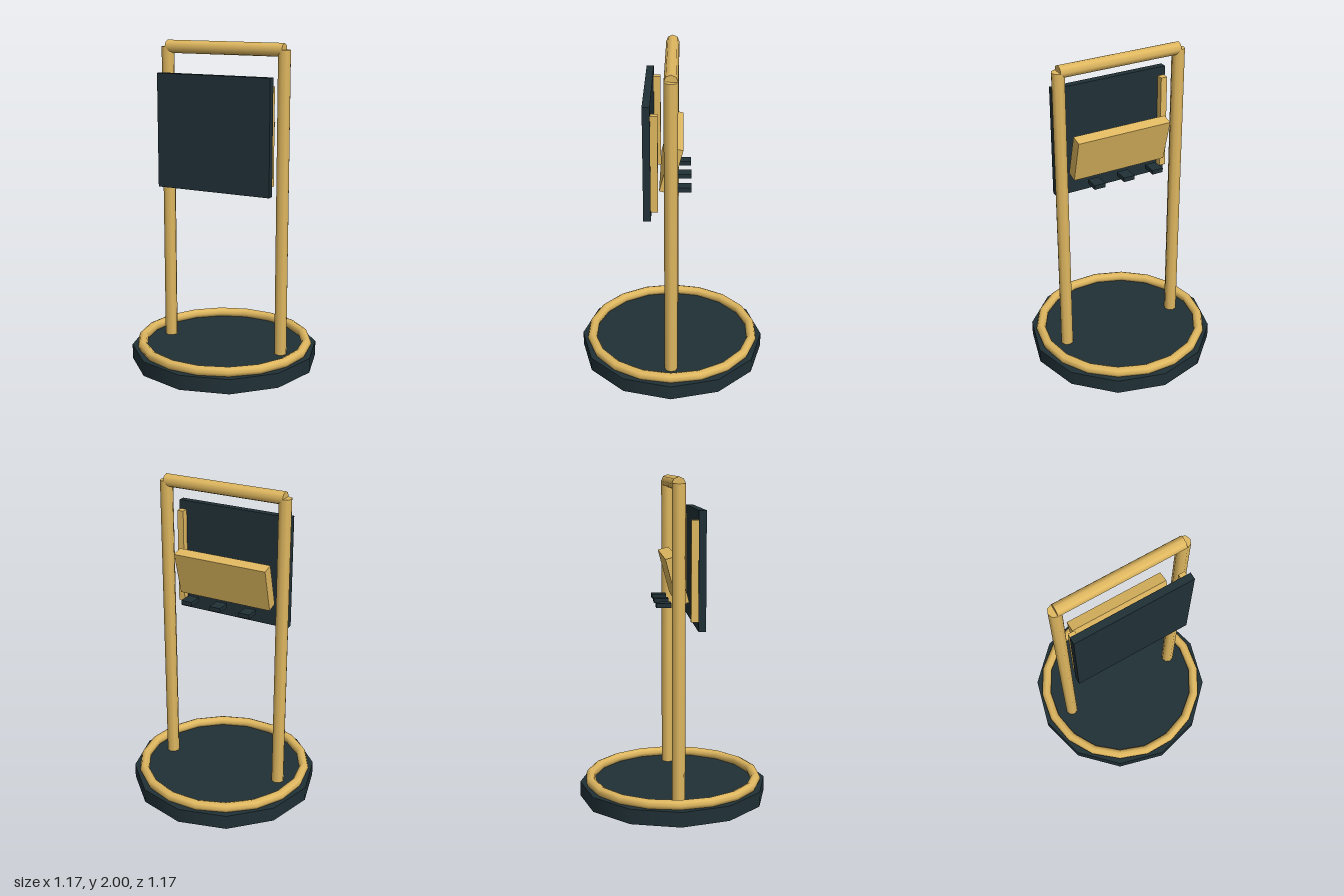
import * as THREE from 'three';

export function createModel() {
  const model = new THREE.Group();
  const gold = new THREE.MeshStandardMaterial({ color: 0xe0b860 });
  const dark = new THREE.MeshStandardMaterial({ color: 0x203036 });

  const add = (name, geometry, material, x, y, z) => {
    const mesh = new THREE.Mesh(geometry, material);
    mesh.name = name;
    mesh.position.set(x, y, z);
    model.add(mesh);
    return mesh;
  };
  const box = (w, h, d) => new THREE.BoxGeometry(w, h, d);

  // Twelve-sided base with a rim ring lying on it
  add('base', new THREE.CylinderGeometry(0.587, 0.587, 0.092, 12), dark, 0, 0.046, 0);
  add('baseRing', new THREE.TorusGeometry(0.525, 0.031, 8, 18), gold, 0, 0.114, 0)
    .rotation.x = Math.PI / 2;

  // Upright frame: two posts and a top bar
  for (const side of [-1, 1]) {
    const name = side > 0 ? 'left' : 'right';
    add(name + 'Post', new THREE.CylinderGeometry(0.04, 0.04, 1.87, 8), gold, side * 0.391, 1.025, 0);
    // Batten on the back of the sign board
    add(name + 'Batten', box(0.041, 0.59, 0.042), gold, side * 0.346, 1.46, 0.096);
  }
  add('topBar', new THREE.CylinderGeometry(0.04, 0.04, 0.782, 8), gold, 0, 1.96, 0)
    .rotation.z = Math.PI / 2;

  // Sign board on the front
  add('signBoard', box(0.75, 0.7, 0.044), dark, 0, 1.46, 0.139);

  // Panel leaning back between the posts
  add('tiltedPanel', box(0.614, 0.28, 0.07), gold, 0, 1.4, 0).rotation.x = -0.26;

  // Three small tabs below the panel
  for (const x of [-0.197, 0, 0.197]) {
    add('tab', box(0.071, 0.027, 0.09), dark, x, 1.245, -0.073);
  }
  return model;
}
